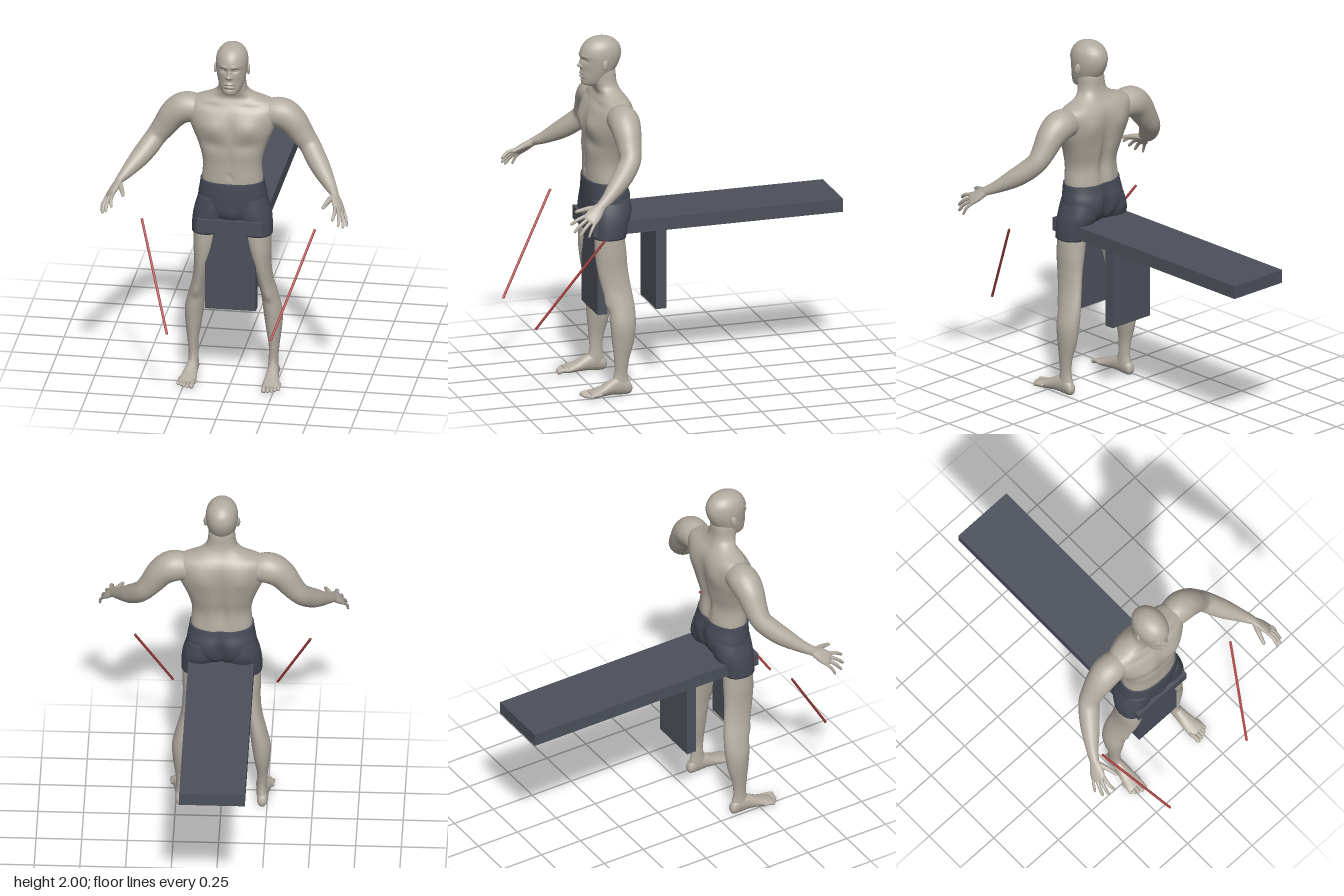
import * as THREE from 'three';

const V = (x, y, z) => new THREE.Vector3(x, y, z);
const paint = (name, color) => Object.assign(new THREE.MeshStandardMaterial({ color }), { name });

// Skin over a list of equal rings, closed by a fan at both ends
function skin(rings) {
  const n = rings[0].length, m = rings.length, pos = [], idx = [];
  rings.forEach(r => r.forEach(p => pos.push(p.x, p.y, p.z)));
  for (const r of [rings[0], rings[m - 1]]) {
    const c = r.reduce((s, p) => s.add(p), V(0, 0, 0)).divideScalar(n);
    pos.push(c.x, c.y, c.z);
  }
  for (let i = 0; i < m - 1; i++) for (let j = 0; j < n; j++) {
    const k = (j + 1) % n, a = i * n + j, b = i * n + k;
    idx.push(a, b, a + n, b, b + n, a + n);
  }
  for (let j = 0; j < n; j++) {
    const k = (j + 1) % n, t = (m - 1) * n;
    idx.push(m * n, k, j, m * n + 1, t + j, t + k);
  }
  const g = new THREE.BufferGeometry();
  g.setAttribute('position', new THREE.Float32BufferAttribute(pos, 3));
  g.setIndex(idx);
  g.computeVertexNormals();
  return g;
}

// Smooth in-between rows (Catmull-Rom on every column)
function refine(rows, steps) {
  const out = [], at = i => rows[Math.max(0, Math.min(rows.length - 1, i))];
  for (let i = 0; i < rows.length - 1; i++) for (let s = 0; s < steps; s++) {
    const t = s / steps;
    out.push(rows[i].map((b, c) => {
      const a = at(i - 1)[c], d = at(i + 1)[c], e = at(i + 2)[c];
      return b + 0.5 * t * (d - a + t * (2 * a - 5 * b + 4 * d - e + t * (3 * (b - d) + e - a)));
    }));
  }
  out.push(rows[rows.length - 1]);
  return out;
}

// Rows along y: [y, x0, x1, zBack, zFront]; bumps: [x, y, spreadX, spreadY, amount, side]
function loft(rows, { n = 40, steps = 5, power = 2, bumps = [], alongZ = false } = {}) {
  const pw = v => Math.sign(v) * Math.abs(v) ** (2 / power);
  return skin(refine(rows, steps).map(([h, x0, x1, v0, v1]) => Array.from({ length: n }, (_, j) => {
    const a = j / n * Math.PI * 2, c = pw(Math.cos(a)), s = pw(Math.sin(a));
    const x = (x0 + x1) / 2 + c * (x1 - x0) / 2;
    if (alongZ) return V(x, (v0 + v1) / 2 + s * (v1 - v0) / 2, h);
    let z = (v0 + v1) / 2 - s * (v1 - v0) / 2;
    for (const [bx, by, sx, sy, amt, side] of bumps) {
      const face = Math.max(0, -s * side);
      z += side * amt * face * Math.exp(-(((Math.abs(x) - bx) / sx) ** 2) - ((h - by) / sy) ** 2);
    }
    return V(x, h, z);
  })));
}

// Tapered limb through [x, y, z, radius, thickness]; side is the wide direction
function limb(pts, side = V(1, 0, 0), n = 24, steps = 5) {
  const rows = refine(pts.map(p => [...p.slice(0, 4), p[4] ?? p[3]]), steps);
  const P = rows.map(r => V(r[0], r[1], r[2]));
  return skin(rows.map((r, i) => {
    const T = P[Math.min(i + 1, P.length - 1)].clone().sub(P[Math.max(i - 1, 0)]).normalize();
    const A = side.clone().addScaledVector(T, -side.dot(T)).normalize();
    const B = T.clone().cross(A);
    return Array.from({ length: n }, (_, j) => {
      const a = j / n * Math.PI * 2;
      return P[i].clone().addScaledVector(A, Math.cos(a) * r[3]).addScaledVector(B, Math.sin(a) * r[4]);
    });
  }));
}

function mirrored(g) {
  const m = g.clone().scale(-1, 1, 1), ix = m.index.array;
  for (let i = 0; i < ix.length; i += 3) [ix[i], ix[i + 1]] = [ix[i + 1], ix[i]];
  m.computeVertexNormals();
  return m;
}

export function createModel() {
  const model = new THREE.Group();
  const flesh = paint('skin', 0xb3aca1), cloth = paint('shorts cloth', 0x464a55);
  const board = paint('bench board', 0x4c505a), red = paint('red rod', 0xac4444);
  const add = (name, geo, mat) => {
    const mesh = new THREE.Mesh(geo, mat);
    mesh.name = name;
    model.add(mesh);
    return mesh;
  };
  const pair = (name, geo, mat) => {
    add(name + 'Left', geo, mat);
    add(name + 'Right', mirrored(geo), mat);
  };
  const even = rows => rows.map(([y, w, b, f]) => [y, -w, w, b, f]);

  // Bench
  const box = (name, w, y0, y1, z0, z1) =>
    add(name, new THREE.BoxGeometry(w, y1 - y0, z1 - z0), board).position.set(0, (y0 + y1) / 2, (z0 + z1) / 2);
  box('benchSeat', 0.36, 0.905, 0.98, -0.905, 0.535);
  box('benchBackLeg', 0.28, 0.44, 0.905, 0.1, 0.158);
  box('benchFrontLeg', 0.28, 0.44, 0.905, 0.438, 0.496);

  // Slanted rods
  pair('rod', limb([[0.48, 0.98, 0.565, 0.007], [0.287, 0.445, 0.9, 0.007]], V(1, 0, 0), 12, 1), red);

  // Torso and neck, with chest, belly, shoulder blade and spine relief
  add('torso', loft(even([
    [1.14, 0.165, 0.312, 0.515], [1.2, 0.168, 0.313, 0.522], [1.3, 0.163, 0.322, 0.522],
    [1.4, 0.188, 0.299, 0.528], [1.5, 0.23, 0.283, 0.528], [1.57, 0.25, 0.279, 0.517],
    [1.62, 0.252, 0.285, 0.497], [1.655, 0.22, 0.3, 0.475], [1.685, 0.14, 0.322, 0.462],
    [1.715, 0.092, 0.338, 0.472], [1.75, 0.077, 0.348, 0.485], [1.8, 0.072, 0.352, 0.49],
    [1.83, 0.065, 0.36, 0.48]]), {
    n: 72, power: 2.3, bumps: [
      [0.1, 1.52, 0.07, 0.05, 0.016, 1], [0, 1.52, 0.014, 0.08, -0.008, 1], [0, 1.33, 0.012, 0.09, -0.006, 1],
      [0.1, 1.42, 0.08, 0.03, -0.012, 1], [0, 1.235, 0.01, 0.01, -0.012, 1], [0.12, 1.635, 0.08, 0.015, -0.008, 1],
      [0, 1.4, 0.025, 0.2, -0.02, -1], [0.11, 1.55, 0.05, 0.07, 0.012, -1], [0.06, 1.28, 0.03, 0.08, 0.008, -1]]
  }), flesh);

  // Head with face relief
  add('head', loft(even([
    [1.722, 0.02, 0.455, 0.505], [1.735, 0.045, 0.42, 0.538], [1.755, 0.058, 0.395, 0.545],
    [1.79, 0.071, 0.368, 0.547], [1.83, 0.081, 0.341, 0.547], [1.87, 0.087, 0.324, 0.547],
    [1.91, 0.088, 0.318, 0.55], [1.95, 0.079, 0.329, 0.535], [1.98, 0.057, 0.358, 0.505],
    [1.994, 0.033, 0.39, 0.472], [2, 0.006, 0.423, 0.437]]), {
    n: 96, steps: 9, bumps: [
      [0, 1.862, 0.01, 0.018, 0.01, 1], [0, 1.842, 0.013, 0.01, 0.02, 1], [0.016, 1.838, 0.007, 0.007, 0.006, 1],
      [0.033, 1.877, 0.018, 0.011, -0.014, 1], [0.03, 1.9, 0.025, 0.008, 0.005, 1],
      [0, 1.8, 0.022, 0.006, 0.009, 1], [0, 1.782, 0.019, 0.006, 0.009, 1], [0, 1.791, 0.026, 0.003, -0.006, 1],
      [0, 1.768, 0.03, 0.005, -0.006, 1], [0.052, 1.81, 0.015, 0.025, -0.006, 1]]
  }), flesh);
  pair('eye', new THREE.SphereGeometry(0.011, 20, 14).scale(1.2, 0.75, 1).translate(0.033, 1.877, 0.52), flesh);
  pair('ear', new THREE.SphereGeometry(1, 20, 14).scale(0.01, 0.031, 0.018)
    .rotateX(-0.2).rotateY(0.35).translate(0.089, 1.855, 0.433), flesh);

  // Shorts
  add('shortsHips', loft(even([
    [0.92, 0.05, 0.38, 0.46], [0.97, 0.13, 0.335, 0.5], [1.02, 0.19, 0.297, 0.523],
    [1.1, 0.19, 0.286, 0.53], [1.16, 0.18, 0.3, 0.53], [1.195, 0.176, 0.308, 0.528]]), {
    n: 64, power: 2.3, bumps: [
      [0, 1.05, 0.018, 0.08, -0.03, -1], [0.085, 1.07, 0.05, 0.06, 0.006, -1], [0, 1.0, 0.04, 0.05, 0.01, 1]]
  }), cloth);
  pair('shortsLeg', loft([
    [0.885, 0.06, 0.222, 0.337, 0.517], [0.95, 0.03, 0.221, 0.32, 0.52],
    [1.02, 0.005, 0.211, 0.296, 0.522], [1.1, 0.01, 0.186, 0.3, 0.515]], { power: 2.2 }), cloth);

  // Legs with kneecaps
  pair('leg', loft([
    [0.02, 0.198, 0.248, 0.335, 0.43], [0.06, 0.192, 0.251, 0.337, 0.445], [0.12, 0.195, 0.248, 0.35, 0.425],
    [0.2, 0.195, 0.254, 0.342, 0.427], [0.3, 0.179, 0.266, 0.315, 0.437], [0.4, 0.165, 0.27, 0.302, 0.446],
    [0.5, 0.154, 0.247, 0.303, 0.456], [0.6, 0.136, 0.222, 0.317, 0.481], [0.7, 0.112, 0.213, 0.33, 0.502],
    [0.8, 0.083, 0.215, 0.335, 0.512], [0.92, 0.05, 0.214, 0.345, 0.508]], {
    bumps: [[0.2, 0.52, 0.025, 0.03, 0.01, 1], [0.2, 0.47, 0.03, 0.015, -0.006, 1]]
  }), flesh);

  // Feet and toes
  pair('foot', loft([
    [0.326, 0.212, 0.236, 0.022, 0.045], [0.342, 0.197, 0.25, 0.002, 0.075], [0.39, 0.193, 0.253, 0, 0.105],
    [0.44, 0.19, 0.259, 0.004, 0.093], [0.5, 0.185, 0.272, 0.002, 0.062], [0.55, 0.182, 0.284, 0, 0.044],
    [0.575, 0.187, 0.282, 0.004, 0.034]], { alongZ: true, n: 32 }), flesh);
  for (let i = 0; i < 5; i++) {
    const x = [0.197, 0.22, 0.239, 0.257, 0.274][i], r = i ? 0.01 : 0.014, end = 0.618 - i * i * 0.0022;
    pair('toe' + (i + 1), limb([[x, 0.024, end - 0.07, r], [x + 0.002, 0.022, end - 0.03, r * 0.9],
      [x + 0.003, 0.016, end - 0.01, r], [x + 0.003, 0.014, end, r * 0.3]], V(1, 0, 0), 12, 3), flesh);
  }

  // Arms
  pair('arm', limb([
    [0.13, 1.575, 0.39, 0.06], [0.2, 1.583, 0.388, 0.078], [0.27, 1.582, 0.386, 0.086],
    [0.33, 1.54, 0.388, 0.079], [0.38, 1.47, 0.39, 0.067], [0.425, 1.408, 0.4, 0.058],
    [0.465, 1.355, 0.443, 0.057], [0.51, 1.305, 0.5, 0.051], [0.562, 1.254, 0.57, 0.035],
    [0.595, 1.225, 0.62, 0.028, 0.022], [0.603, 1.213, 0.637, 0.024, 0.018]], V(0, 0, 1), 32), flesh);

  // Hands: palm, four fingers and thumb
  const across = V(0.55, -0.45, -0.65).normalize();
  pair('palm', limb([
    [0.586, 1.234, 0.605, 0.022, 0.018], [0.6, 1.217, 0.632, 0.03, 0.019], [0.618, 1.192, 0.665, 0.041, 0.019],
    [0.636, 1.165, 0.698, 0.043, 0.015], [0.642, 1.156, 0.71, 0.034, 0.007]], across), flesh);
  const tips = [[0.612, 1.14, 0.805], [0.645, 1.105, 0.795], [0.668, 1.085, 0.77], [0.682, 1.078, 0.722]];
  tips.forEach((t, i) => {
    const tip = V(...t), base = V(0.633, 1.168, 0.694).addScaledVector(across, -0.032 + i * 0.0215);
    const mid = base.clone().lerp(tip, 0.5).add(V(0.006, 0.006, 0.004)), end = base.clone().lerp(tip, 0.92);
    const r = i === 3 ? 0.0085 : 0.0105;
    pair('finger' + (i + 1), limb([[...base, r], [...mid, r * 0.95], [...end, r * 0.75], [...tip, r * 0.25]],
      across, 12, 4), flesh);
  });
  pair('thumb', limb([[0.598, 1.215, 0.635, 0.018], [0.577, 1.21, 0.685, 0.015], [0.563, 1.2, 0.725, 0.0115],
    [0.555, 1.192, 0.752, 0.009], [0.553, 1.188, 0.76, 0.003]], across, 14, 4), flesh);

  return model;
}
